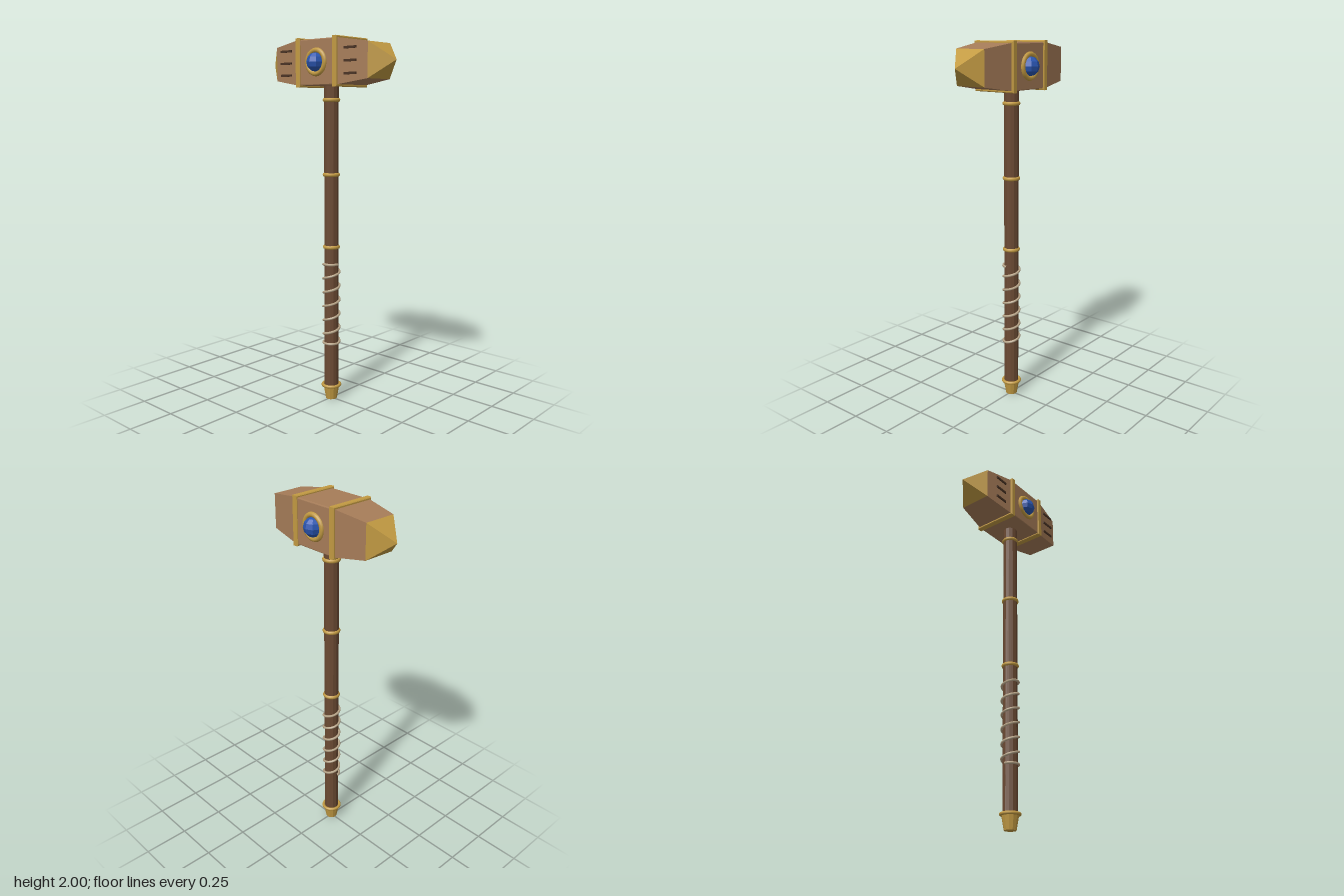
import * as THREE from 'three';
import { RoundedBoxGeometry } from 'three/addons/geometries/RoundedBoxGeometry.js';

const mat = (name, color) => {
  const m = new THREE.MeshStandardMaterial({ color });
  m.name = name;
  return m;
};

// Give every face its own normal
function flat(geometry) {
  const g = geometry.index ? geometry.toNonIndexed() : geometry;
  g.computeVertexNormals();
  return g;
}

// Square-section solid along x from [x, half width] pairs
function squareSection(profile) {
  const pts = profile.map(([x, half]) => new THREE.Vector2(half * Math.SQRT2, x));
  const g = new THREE.LatheGeometry(pts, 4, Math.PI / 4);
  g.rotateZ(-Math.PI / 2);
  return flat(g);
}

// Cord path: flat at both ends, rising around the grip between them
class CordCurve extends THREE.Curve {
  getPoint(u, target = new THREE.Vector3()) {
    const t = -Math.PI / 2 + u * 13 * Math.PI;
    const y = 0.331 + 0.08 * (t - Math.PI / 2) / (2 * Math.PI);
    return target.set(0.045 * Math.sin(t), THREE.MathUtils.clamp(y, 0.331, 0.785), 0.045 * Math.cos(t));
  }
}

export function createModel() {
  const model = new THREE.Group();
  model.name = 'warHammer';
  const headBrown = mat('head brown', 0xa67c58);
  const gold = mat('gold', 0xc29a42);
  const wood = mat('handle wood', 0x6b4a33);
  const blue = mat('gem blue', 0x2a55b0);
  const cordTan = mat('cord tan', 0xb8a588);
  const slotBrown = mat('slot dark brown', 0x4a3324);

  const add = (name, geometry, material, x = 0, y = 0, z = 0, parent = model) => {
    const m = new THREE.Mesh(geometry, material);
    m.name = name;
    m.position.set(x, y, z);
    parent.add(m);
    return m;
  };

  // Handle
  add('handle', flat(new THREE.CylinderGeometry(0.04, 0.04, 1.72, 12)), wood, 0, 0.92);
  for (const y of [0.88, 1.28, 1.68]) {
    add('handleRing', new THREE.TorusGeometry(0.037, 0.011, 8, 20).rotateX(Math.PI / 2), gold, 0, y);
  }
  add('gripCord', new THREE.TubeGeometry(new CordCurve(), 260, 0.007, 6), cordTan);

  // Pommel
  add('pommel', flat(new THREE.CylinderGeometry(0.046, 0.032, 0.08, 12)), gold, 0, 0.04);
  add('pommelRing', new THREE.TorusGeometry(0.048, 0.009, 8, 20).rotateX(Math.PI / 2), gold, 0, 0.08);

  // Head
  const head = new THREE.Group();
  head.name = 'head';
  head.position.y = 1.873;
  model.add(head);
  add('headBlock', flat(new RoundedBoxGeometry(0.28, 0.236, 0.24, 1, 0.005)), headBrown, 0, 0, 0, head);

  for (const side of [1, -1]) {
    const arm = new THREE.Group();
    arm.name = side > 0 ? 'leftArm' : 'rightArm';
    arm.rotation.y = side > 0 ? 0 : Math.PI;
    head.add(arm);
    add('taper', squareSection([[0.125, 0.119], [0.32, 0.09]]), headBrown, 0, 0, 0, arm);
    add('spikeTip', squareSection([[0.32, 0.09], [0.43, 0]]), gold, 0, 0, 0, arm);
    add('band', squareSection([[-0.016, 0.112], [-0.016, 0.123], [-0.012, 0.127],
      [0.012, 0.127], [0.016, 0.123], [0.016, 0.112]]), gold, 0.129, 0, 0, arm);

    // Slots on the front face only
    for (const y of [-0.063, 0, 0.064]) {
      add('slot', new THREE.BoxGeometry(0.08, 0.012, 0.006), slotBrown, side * 0.225, y, 0.114, head);
    }

    // Gem and setting, front and back
    add('gem', flat(new THREE.SphereGeometry(0.05, 8, 6)), blue, 0, 0, side * 0.121, head);
    add('gemSetting', new THREE.TorusGeometry(0.06, 0.014, 8, 24), gold, 0, 0, side * 0.119, head);
  }
  return model;
}
